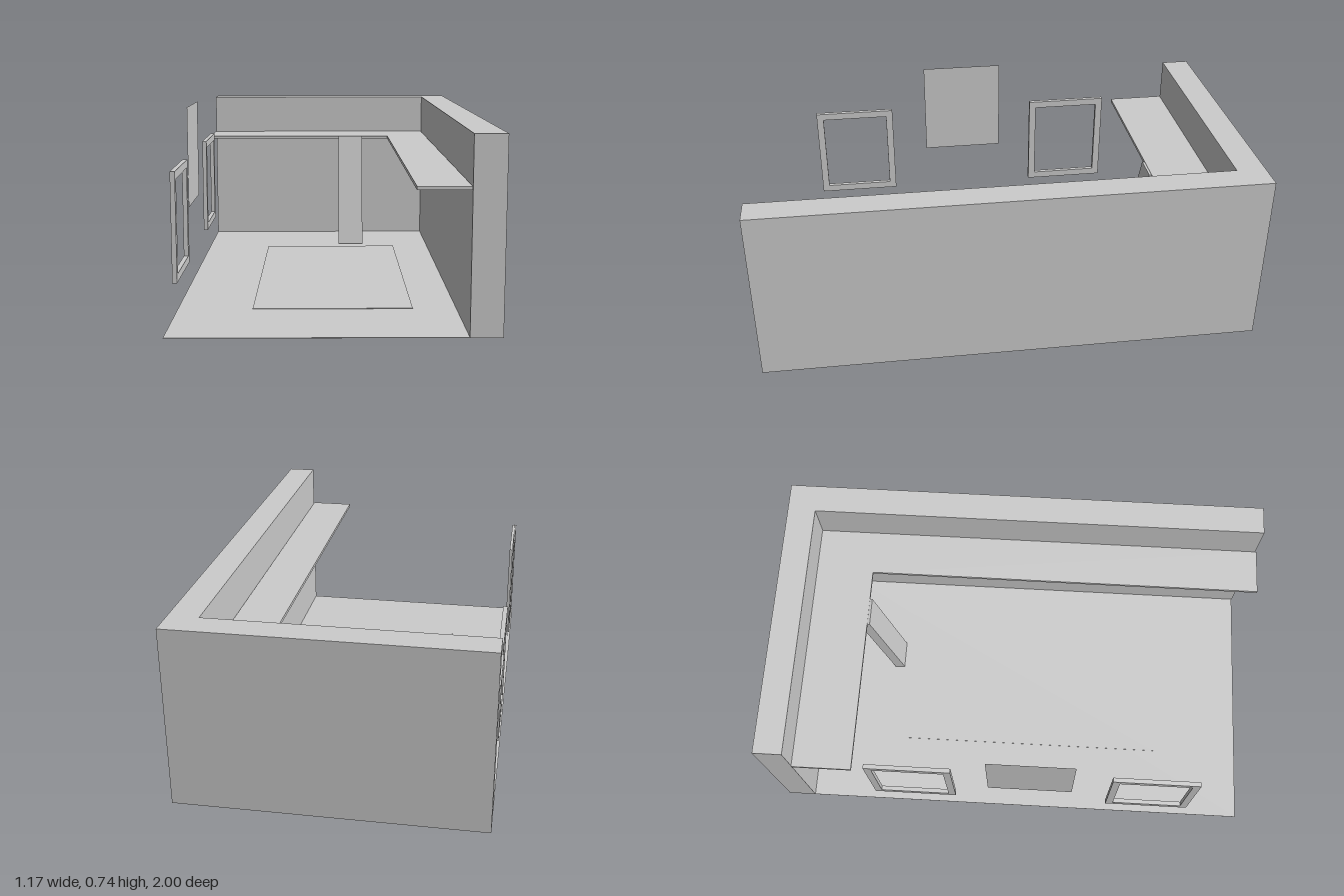
import * as THREE from 'three';

const grey = new THREE.MeshStandardMaterial({ color: 0xcccccc, side: THREE.DoubleSide });
grey.name = 'plain grey';

function add(parent, name, geometry) {
  const mesh = new THREE.Mesh(geometry, grey);
  mesh.name = name;
  parent.add(mesh);
  return mesh;
}

// box given by its lower and upper corners
function block(parent, name, [x0, y0, z0], [x1, y1, z1]) {
  const mesh = add(parent, name, new THREE.BoxGeometry(x1 - x0, y1 - y0, z1 - z0));
  mesh.position.set((x0 + x1) / 2, (y0 + y1) / 2, (z0 + z1) / 2);
  return mesh;
}

// flat outline in x and z, raised from y0 to y1
function slab(parent, name, points, y0, y1) {
  const shape = new THREE.Shape(points.map(([x, z]) => new THREE.Vector2(x, -z)));
  const geometry = new THREE.ExtrudeGeometry(shape, { depth: y1 - y0, bevelEnabled: false });
  geometry.rotateX(-Math.PI / 2);
  add(parent, name, geometry).position.y = y0;
}

// upright rectangular frame facing along x
function windowFrame(parent, name, z) {
  const w = 0.175, h = 0.205, b = 0.03;
  const rect = (target, a, c) => target.moveTo(-a, -c).lineTo(a, -c).lineTo(a, c).lineTo(-a, c).closePath();
  const shape = rect(new THREE.Shape(), w, h);
  shape.holes.push(rect(new THREE.Path(), w - b, h - b));
  const geometry = new THREE.ExtrudeGeometry(shape, { depth: 0.018, bevelEnabled: false });
  geometry.rotateY(Math.PI / 2);
  add(parent, name, geometry).position.set(-0.584, 0.34, z);
}

export function createModel() {
  const model = new THREE.Group();
  model.name = 'room';

  // floor and rug
  block(model, 'floor', [-0.585, 0, -1], [0.585, 0.002, 0.993]);
  block(model, 'rug', [-0.302, 0.002, -0.51], [0.304, 0.004, 0.625]);

  // two walls meeting in a corner
  block(model, 'sideWall', [0.469, 0, -1], [0.585, 0.705, 0.995]);
  block(model, 'backWall', [-0.585, 0, -1], [0.469, 0.705, -0.885]);

  // L-shaped counter along both walls
  slab(model, 'counter', [
    [-0.588, -0.885], [0.467, -0.885], [0.467, 1], [0.28, 1], [0.28, -0.645], [-0.588, -0.645],
  ], 0.515, 0.528);

  // leaning support under the counter
  const tilt = 0.18, thick = 0.044;
  const support = add(model, 'leaningSupport', new THREE.BoxGeometry(0.116, 0.528, thick));
  support.rotation.x = -tilt;
  support.position.set(
    0.098,
    0.268 - Math.sin(tilt) * thick / 2,
    -0.5875 - Math.cos(tilt) * thick / 2
  );

  // window frames and the loose pane between them
  windowFrame(model, 'rearWindowFrame', -0.42);
  windowFrame(model, 'frontWindowFrame', 0.58);
  const pane = add(model, 'windowPane', new THREE.PlaneGeometry(0.35, 0.41));
  pane.rotation.y = Math.PI / 2;
  pane.position.set(-0.585, 0.531, 0.075);

  // cone-shaped wall lamp in the corner, its tip towards the room
  const tip = new THREE.Vector3(0.409, 0.353, -0.79);
  const base = new THREE.Vector3(0.45, 0.398, -0.845);
  const axis = tip.clone().sub(base);
  const lamp = add(model, 'wallLamp', new THREE.ConeGeometry(0.048, axis.length(), 32));
  lamp.quaternion.setFromUnitVectors(new THREE.Vector3(0, 1, 0), axis.clone().normalize());
  lamp.position.copy(tip).add(base).multiplyScalar(0.5);

  return model;
}
